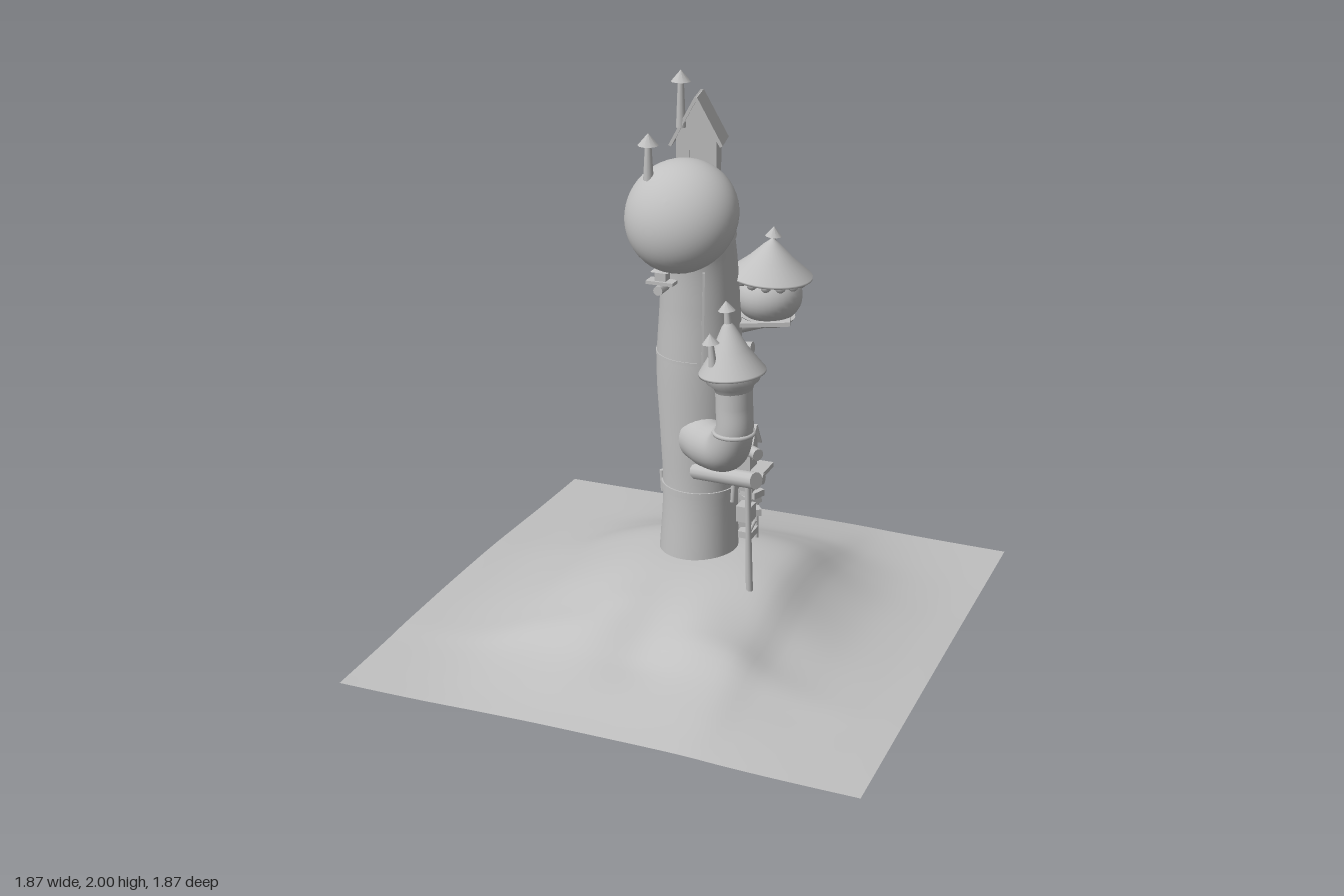
import * as THREE from 'three';

const V = (x, y, z) => new THREE.Vector3(x, y, z);
const stone = new THREE.MeshStandardMaterial({ color: 0xc0c0c0, side: THREE.DoubleSide });
stone.name = 'palePlaster';

function mesh(parent, name, geo, pos = [0, 0, 0], rot = [0, 0, 0]) {
  const m = new THREE.Mesh(geo, stone);
  m.name = name;
  m.position.set(...pos);
  m.rotation.set(...rot);
  parent.add(m);
  return m;
}

function group(parent, name, pos = [0, 0, 0], rot = [0, 0, 0]) {
  const g = new THREE.Group();
  g.name = name;
  g.position.set(...pos);
  g.rotation.set(...rot);
  parent.add(g);
  return g;
}

const lathe = (pts, n = 32) => new THREE.LatheGeometry(pts.map(p => new THREE.Vector2(...p)), n);

// Round beam between two points
function log(parent, name, a, b, r, r2 = r) {
  const p = V(...a), d = V(...b).sub(p);
  const m = mesh(parent, name, new THREE.CylinderGeometry(r2, r, d.length(), 12));
  m.position.copy(p).addScaledVector(d, 0.5);
  m.quaternion.setFromUnitVectors(V(0, 1, 0), d.normalize());
  return m;
}

// Tube along [x, y, z, radius] stations
function sweep(stations, seg, sides) {
  const curve = new THREE.CatmullRomCurve3(stations.map(s => V(s[0], s[1], s[2])));
  const radii = new THREE.CubicInterpolant(stations.map((s, i) => i), stations.map(s => s[3]), 1);
  const geo = new THREE.TubeGeometry(curve, seg, 1, sides);
  const pos = geo.attributes.position, p = V(0, 0, 0);
  for (let i = 0; i < pos.count; i++) {
    const u = Math.floor(i / (sides + 1)) / seg;
    const c = curve.getPointAt(u);
    const r = radii.evaluate(curve.getUtoTmapping(u) * (stations.length - 1))[0];
    p.fromBufferAttribute(pos, i).sub(c).multiplyScalar(r).add(c);
    pos.setXYZ(i, p.x, p.y, p.z);
  }
  return geo;
}

// Little chimney with a pointed cap; base at pos
function chimney(parent, pos, h, s = 1, rot = [0, 0, 0]) {
  const g = group(parent, 'chimney', pos, rot);
  mesh(g, 'chimneyPipe', new THREE.CylinderGeometry(0.009 * s, 0.015 * s, h, 10), [0, h / 2, 0]);
  mesh(g, 'chimneyCap', new THREE.ConeGeometry(0.03 * s, 0.035 * s, 10), [0, h + 0.012 * s, 0]);
}

// Gabled hut with its ridge along z; base at pos
function hut(parent, name, pos, rot, w, h, d, rise, over) {
  const g = group(parent, name, pos, rot);
  const s = new THREE.Shape();
  s.moveTo(-w / 2, 0); s.lineTo(w / 2, 0); s.lineTo(w / 2, h);
  s.lineTo(0, h + rise); s.lineTo(-w / 2, h);
  const window = new THREE.Path();
  window.moveTo(-w * 0.16, h * 0.35); window.lineTo(-w * 0.16, h * 0.8);
  window.lineTo(w * 0.16, h * 0.8); window.lineTo(w * 0.16, h * 0.35);
  s.holes.push(window);
  mesh(g, 'hutWalls', new THREE.ExtrudeGeometry(s, { depth: d, bevelEnabled: false }), [0, 0, -d / 2]);
  mesh(g, 'hutRoom', new THREE.BoxGeometry(w * 0.9, h, d * 0.85), [0, h / 2, 0]);
  const slope = Math.atan2(rise, w / 2), len = Math.hypot(w / 2, rise) + over;
  for (const k of [-1, 1]) {
    mesh(g, 'roofSlab', new THREE.BoxGeometry(len, w * 0.08, d + over),
      [k * Math.cos(slope) * len / 2, h + rise + w * 0.03 - Math.sin(slope) * len / 2, 0], [0, 0, -k * slope]);
  }
  return g;
}

// Flat ribbon following points, widened along a side direction
function ribbon(parent, name, pts, side) {
  const curve = new THREE.CatmullRomCurve3(pts.map(p => V(...p)));
  const geo = new THREE.PlaneGeometry(1, 1, 1, 28), pos = geo.attributes.position;
  for (let i = 0; i < pos.count; i++) {
    const p = curve.getPointAt(Math.floor(i / 2) / 28).addScaledVector(V(...side), i % 2 ? 0.5 : -0.5);
    pos.setXYZ(i, p.x, p.y, p.z);
  }
  geo.computeVertexNormals();
  mesh(parent, name, geo);
}

function terrain(parent) {
  const px = new THREE.CubicInterpolant(
    [-0.94, -0.75, -0.6, -0.4, -0.2, 0, 0.28, 0.36, 0.45, 0.6, 0.78, 0.94],
    [0.08, 0.13, 0.28, 0.66, 0.93, 1, 0.97, 0.86, 0.56, 0.25, 0.08, 0.01], 1);
  const pz = new THREE.CubicInterpolant(
    [-0.94, -0.75, -0.6, -0.4, -0.2, 0, 0.2, 0.4, 0.5, 0.6, 0.8, 0.94],
    [0.03, 0.19, 0.35, 0.67, 0.95, 1, 0.94, 0.76, 0.66, 0.43, 0.18, 0.05], 1);
  const geo = new THREE.PlaneGeometry(1.87, 1.87, 60, 60).rotateX(-Math.PI / 2);
  const pos = geo.attributes.position;
  const bump = (x, z, cx, cz, r) => Math.exp(-((x - cx) ** 2 + (z - cz) ** 2) / (r * r));
  for (let i = 0; i < pos.count; i++) {
    const x = pos.getX(i), z = pos.getZ(i);
    const y = 0.26 * px.evaluate(x)[0] * pz.evaluate(z)[0]
      + 0.014 * bump(x, z, -0.1, 0.38, 0.1) - 0.035 * bump(x, z, 0.02, 0.52, 0.13) - 0.03 * bump(x, z, 0.36, 0.32, 0.15);
    pos.setY(i, Math.max(0, y));
  }
  geo.computeVertexNormals();
  mesh(parent, 'hill', geo);
}

export function createModel() {
  const root = new THREE.Group();
  root.name = 'crookedTower';
  terrain(root);

  // Main trunk, bending forward at the top
  mesh(root, 'towerTrunk', sweep([
    [-0.005, 0.21, -0.055, 0.146], [-0.005, 0.47, -0.07, 0.136], [-0.005, 0.7, -0.065, 0.143],
    [-0.005, 0.95, -0.06, 0.153], [-0.005, 1.2, -0.062, 0.141], [-0.005, 1.39, -0.052, 0.13],
    [-0.005, 1.48, -0.025, 0.125], [-0.005, 1.54, 0.08, 0.12]], 64, 36));
  // Bands around the trunk
  for (const [y, z, r, h] of [[0.5, -0.07, 0.142, 0.025], [1.01, -0.06, 0.155, 0.012]]) {
    mesh(root, 'trunkBand', new THREE.CylinderGeometry(r, r, h, 36), [-0.005, y, z]);
  }
  mesh(root, 'shoulderBand', new THREE.CylinderGeometry(0.132, 0.134, 0.02, 36), [-0.005, 1.44, -0.043], [0.25, 0, 0]);
  mesh(root, 'doorSeam', new THREE.BoxGeometry(0.008, 0.38, 0.012), [0.06, 1.15, 0.072], [-0.04, 0.4, 0]);
  for (const k of [-1, 1]) {
    log(root, 'bandPeg', [k * 0.135, 0.46, -0.03], [k * 0.14, 0.54, -0.03], 0.009);
  }

  // Great dome with rolled rim, facing forward and up
  const cap = [[0.09, -0.075], [0.125, -0.07], [0.13, -0.035], [0.165, -0.03], [0.172, -0.012], [0.198, -0.012]];
  for (let i = 0; i <= 16; i++) {
    const a = i / 16 * Math.PI / 2;
    cap.push([0.2 * Math.cos(a), 0.165 * Math.sin(a)]);
  }
  mesh(root, 'greatDome', lathe(cap, 48), [-0.008, 1.54, 0.09], [1.02, 0, 0]);
  chimney(root, [-0.105, 1.67, 0.15], 0.125, 1.2);

  // Hut on the tower top, with chimney and broken balcony
  const topHut = hut(root, 'topHut', [-0.05, 1.53, -0.16], [-0.06, 0.26, 0.02], 0.14, 0.235, 0.15, 0.13, 0.04);
  mesh(topHut, 'hutFloor', new THREE.BoxGeometry(0.2, 0.02, 0.2), [0, 0, -0.01]);
  chimney(root, [-0.085, 1.8, -0.085], 0.165, 1.15);
  const balcony = group(root, 'balcony', [-0.06, 1.5, -0.24], [0.2, 0.26, 0]);
  for (let i = 0; i < 5; i++) {
    mesh(balcony, 'balconyPlank', new THREE.BoxGeometry(0.035, 0.014, 0.13), [-0.08 + i * 0.04, (i % 2) * 0.01, 0.01 - (i % 3) * 0.01], [0.25 - (i % 2) * 0.4, 0, 0]);
    mesh(balcony, 'railPost', new THREE.BoxGeometry(0.012, 0.05, 0.012), [-0.08 + i * 0.04, 0.025, -0.05], [-0.3, 0, 0.1]);
  }
  log(balcony, 'balconyBeam', [-0.1, -0.02, 0.04], [0.1, -0.02, 0.04], 0.018);

  // Round lantern turret on the left rear
  const lantern = group(root, 'lanternTurret', [0.2, 1.2, -0.2], [0, 0, -0.06]);
  mesh(lantern, 'lanternBody', new THREE.SphereGeometry(0.12, 32, 20).scale(1, 0.85, 1));
  mesh(lantern, 'lanternRoof', lathe([[0.1, 0.07], [0.15, 0.07], [0.15, 0.078], [0.08, 0.135], [0.03, 0.185], [0, 0.21]]));
  mesh(lantern, 'lanternFloor', new THREE.CylinderGeometry(0.1, 0.085, 0.02, 24), [0, -0.085, 0]);
  for (let i = 0; i < 14; i++) {
    const a = i / 14 * Math.PI * 2;
    mesh(lantern, 'roofScallop', new THREE.SphereGeometry(0.02, 8, 6), [Math.cos(a) * 0.115, 0.065, Math.sin(a) * 0.115]);
  }
  chimney(lantern, [-0.01, 0.14, -0.035], 0.07);
  log(root, 'lanternBeam', [0.06, 1.08, -0.12], [0.25, 1.115, -0.25], 0.03);
  log(root, 'lanternBrace', [0.08, 1.02, -0.1], [0.18, 1.03, -0.1], 0.022);
  mesh(root, 'lanternDeck', new THREE.BoxGeometry(0.2, 0.015, 0.22), [0.18, 1.12, -0.2], [0, 0.3, 0.05]);

  // Bent front turret growing from the trunk
  mesh(root, 'bentTurret', sweep([
    [0.035, 0.72, 0.03, 0.085], [0.11, 0.725, 0.1, 0.083], [0.19, 0.755, 0.17, 0.076],
    [0.225, 0.83, 0.195, 0.066], [0.225, 0.93, 0.195, 0.064], [0.222, 1.03, 0.195, 0.066]], 40, 28));
  mesh(root, 'turretRing', new THREE.TorusGeometry(0.068, 0.008, 8, 28).rotateX(Math.PI / 2), [0.224, 0.83, 0.195]);
  const spire = group(root, 'turretSpire', [0.222, 1.0, 0.195], [0, 0, 0.1]);
  mesh(spire, 'spireCollar', lathe([[0.06, -0.03], [0.07, 0], [0.092, 0.02], [0.092, 0.045]]));
  mesh(spire, 'spireRoof', lathe([[0.07, 0.045], [0.115, 0.045], [0.115, 0.053], [0.062, 0.13], [0.022, 0.21], [0, 0.235]]));
  chimney(spire, [0, 0.2, 0], 0.07);
  chimney(spire, [-0.04, 0.09, 0.068], 0.085);

  // Props under the bent turret
  log(root, 'propLog', [0.03, 0.6, 0.06], [0.305, 0.66, 0.19], 0.03);
  log(root, 'crossLog', [0.11, 0.7, -0.04], [0.265, 0.7, 0.065], 0.022);
  log(root, 'propPost', [0.278, 0.2, 0.17], [0.27, 0.65, 0.18], 0.013, 0.009);
  log(root, 'postTwig', [0.274, 0.45, 0.176], [0.295, 0.5, 0.165], 0.006);

  // Tiny perch on the front
  log(root, 'perchLog', [-0.085, 1.275, 0.03], [-0.085, 1.275, 0.125], 0.017);
  mesh(root, 'perchFloor', new THREE.BoxGeometry(0.1, 0.012, 0.05), [-0.085, 1.298, 0.09]);
  mesh(root, 'perchBox', new THREE.BoxGeometry(0.04, 0.04, 0.04), [-0.085, 1.32, 0.085]);
  mesh(root, 'perchRoof', new THREE.ConeGeometry(0.045, 0.03, 4), [-0.085, 1.352, 0.085], [0, 0.78, 0]);

  // Entrance hut, landing and stepped crates on the left side
  hut(root, 'sideHut', [0.14, 0.565, -0.12], [0, Math.PI / 2, 0], 0.075, 0.1, 0.08, 0.065, 0.025);
  mesh(root, 'landing', new THREE.BoxGeometry(0.13, 0.018, 0.15), [0.165, 0.555, -0.12]);
  log(root, 'landingBeam', [0.08, 0.545, -0.08], [0.235, 0.545, -0.08], 0.02);
  for (let i = 0; i < 7; i++) {
    mesh(root, 'stairStep', new THREE.BoxGeometry(0.055, 0.025, 0.07),
      [0.155 - (i % 2) * 0.015, 0.3 + i * 0.035, -0.2 + Math.abs(3 - i) * 0.022], [0, i * 0.3, 0.1 * (i % 2)]);
  }
  mesh(root, 'crate', new THREE.BoxGeometry(0.055, 0.06, 0.06), [0.16, 0.395, -0.1]);
  for (const z of [-0.12, -0.2]) {
    log(root, 'stairPost', [0.165, 0.23, z], [0.165, 0.55, z], 0.008);
  }

  // Streaming ribbons behind the tower
  ribbon(root, 'upperRibbon', [[0.1, 0.24, -0.23], [0.07, 0.4, -0.27], [0.03, 0.54, -0.31], [-0.03, 0.595, -0.37],
    [-0.08, 0.6, -0.41], [-0.11, 0.51, -0.44]], [0.025, 0.03, -0.04]);
  ribbon(root, 'lowerRibbon', [[0.1, 0.24, -0.25], [0.05, 0.31, -0.33], [0, 0.38, -0.38], [-0.05, 0.43, -0.43],
    [-0.1, 0.42, -0.48], [-0.13, 0.35, -0.49]], [0.025, 0.03, -0.04]);
  return root;
}
